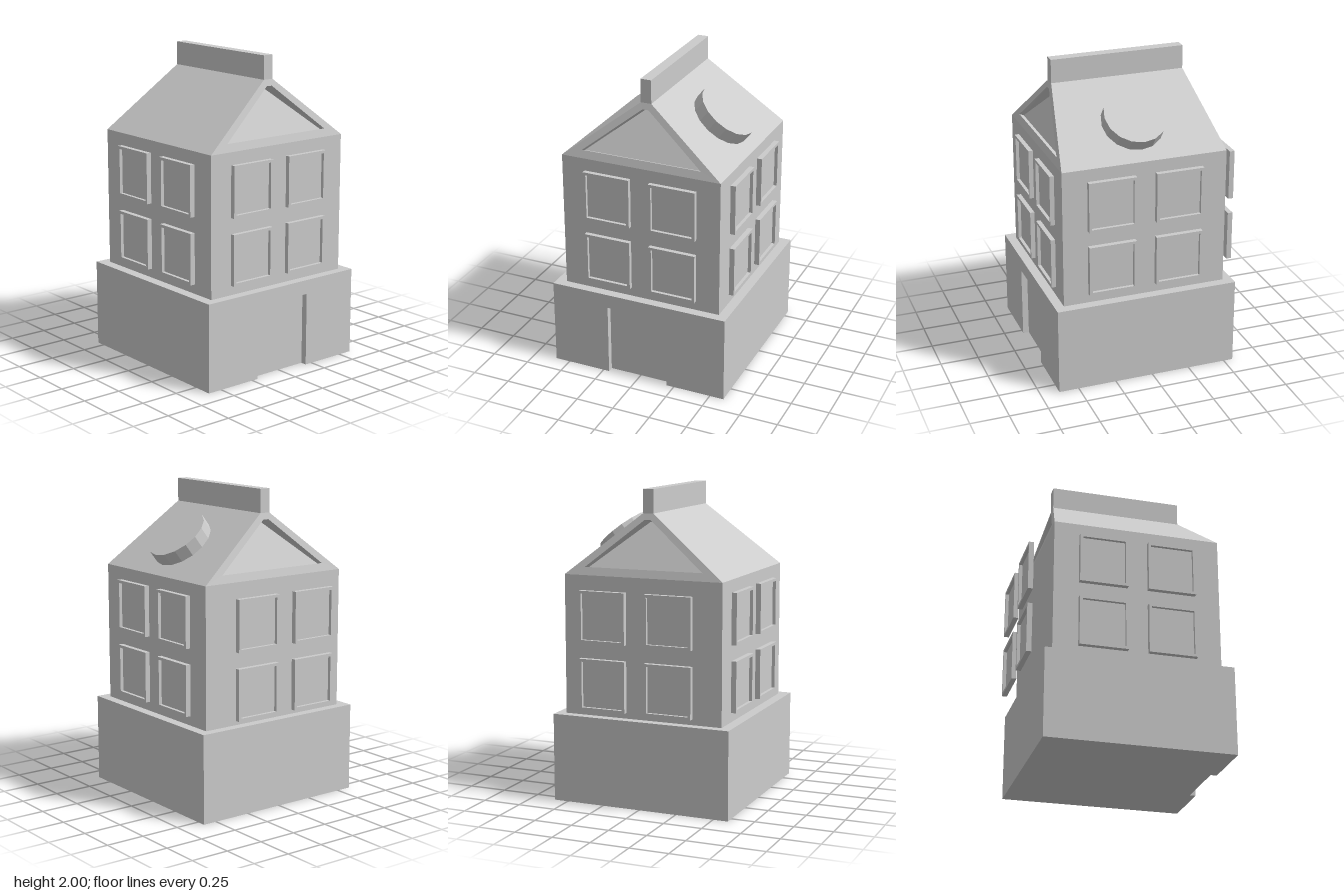
import * as THREE from 'three';

const mat = new THREE.MeshStandardMaterial({ color: 0xcccccc, flatShading: true });

function add(parent, geo, name, x = 0, y = 0, z = 0) {
  const m = new THREE.Mesh(geo, mat);
  m.name = name;
  m.position.set(x, y, z);
  parent.add(m);
  return m;
}

function box(parent, name, w, h, d, x, y, z) {
  return add(parent, new THREE.BoxGeometry(w, h, d), name, x, y, z);
}

// Flat quads, corners counter-clockwise from outside
function quads(list) {
  const pos = [];
  for (const [a, b, c, d] of list) pos.push(...a, ...b, ...c, ...a, ...c, ...d);
  const g = new THREE.BufferGeometry();
  g.setAttribute('position', new THREE.Float32BufferAttribute(pos, 3));
  g.computeVertexNormals();
  return g;
}

// Four-cornered gable outline: bottom left, bottom right, top right, top left
const ring = (xb, yb, zb, xt, yt, zt) =>
  [[-xb, yb, zb], [xb, yb, zb], [xt, yt, zt], [-xt, yt, zt]];

// One gable with its recessed panel, and the roof slope to its right
function roofHalf() {
  const outer = ring(0.53, 1.46, 0.535, 0.035, 1.85, 0.435);
  const rim = ring(0.395, 1.51, 0.522, 0.02, 1.81, 0.445);
  const panel = ring(0.39, 1.5, 0.495, 0.018, 1.79, 0.36);
  const list = [];
  for (const [a, b] of [[outer, rim], [rim, panel]]) {
    for (let i = 0; i < 4; i++) {
      const j = (i + 1) % 4;
      list.push([a[i], a[j], b[j], b[i]]);
    }
  }
  list.push(panel);
  list.push([[0.53, 1.46, 0.535], [0.53, 1.46, -0.535], [0.035, 1.85, -0.435], [0.035, 1.85, 0.435]]);
  return quads(list);
}

// Window: square frame around a set-back pane, back at z = 0
function makeWindow() {
  const w = 0.155, h = 0.163, t = 0.018;
  const rect = (P, a, b) => new P([
    new THREE.Vector2(-a, -b), new THREE.Vector2(a, -b),
    new THREE.Vector2(a, b), new THREE.Vector2(-a, b)]);
  const s = rect(THREE.Shape, w, h);
  s.holes.push(rect(THREE.Path, w - t, h - t));
  const g = new THREE.Group();
  g.name = 'window';
  add(g, new THREE.ExtrudeGeometry(s, { depth: 0.033, bevelEnabled: false }), 'windowFrame');
  box(g, 'windowPane', 2 * (w - t), 2 * (h - t), 0.012, 0, 0, 0.006);
  return g;
}

export function createModel() {
  const model = new THREE.Group();
  model.name = 'house';
  const house = new THREE.Group();
  house.name = 'building';
  house.position.z = 0.034;
  model.add(house);

  // Base: solid block with a door notch in its front layer
  const door = 0.04;
  const front = new THREE.Shape([
    [-0.597, 0], [-0.21, 0], [-0.21, 0.475], [0.2, 0.475],
    [0.2, 0], [0.593, 0], [0.593, 0.567], [-0.597, 0.567],
  ].map(([x, y]) => new THREE.Vector2(x, y)));
  add(house, new THREE.ExtrudeGeometry(front, { depth: door, bevelEnabled: false }),
    'doorSurround', 0, 0, 0.595 - door);
  box(house, 'base', 1.19, 0.567, 1.19 - door, -0.002, 0.2835, -door / 2);

  // Upper storeys
  box(house, 'walls', 1.06, 0.893, 1.07, 0, 1.0135, 0);

  // Roof: the same half turned twice, with a wall along the ridge
  const roof = roofHalf();
  add(house, roof, 'roofFront');
  add(house, roof, 'roofBack').rotation.y = Math.PI;
  box(house, 'ridge', 0.07, 0.15, 0.87, 0, 1.925, 0);

  // Round hatch standing square to the right roof slope
  const n = new THREE.Vector3(0.614, 0.789, 0);
  const hatch = add(house, new THREE.CylinderGeometry(0.2, 0.2, 0.1, 16), 'roofHatch');
  hatch.quaternion.setFromUnitVectors(new THREE.Vector3(0, 1, 0), n);
  hatch.position.set(0.36, 1.705, 0.003).addScaledVector(n, -0.05);

  // Four windows per side; the back row stands clear of the wall
  const sides = [
    ['frontWindows', 0, 0.531], ['rightWindows', Math.PI / 2, 0.53],
    ['backWindows', Math.PI, 0.629], ['leftWindows', -Math.PI / 2, 0.53],
  ];
  for (const [name, turn, dist] of sides) {
    const side = new THREE.Group();
    side.name = name;
    side.rotation.y = turn;
    for (const x of [-0.22, 0.22]) {
      for (const y of [0.79, 1.217]) {
        const win = makeWindow();
        win.position.set(x, y, dist);
        side.add(win);
      }
    }
    house.add(side);
  }
  return model;
}
